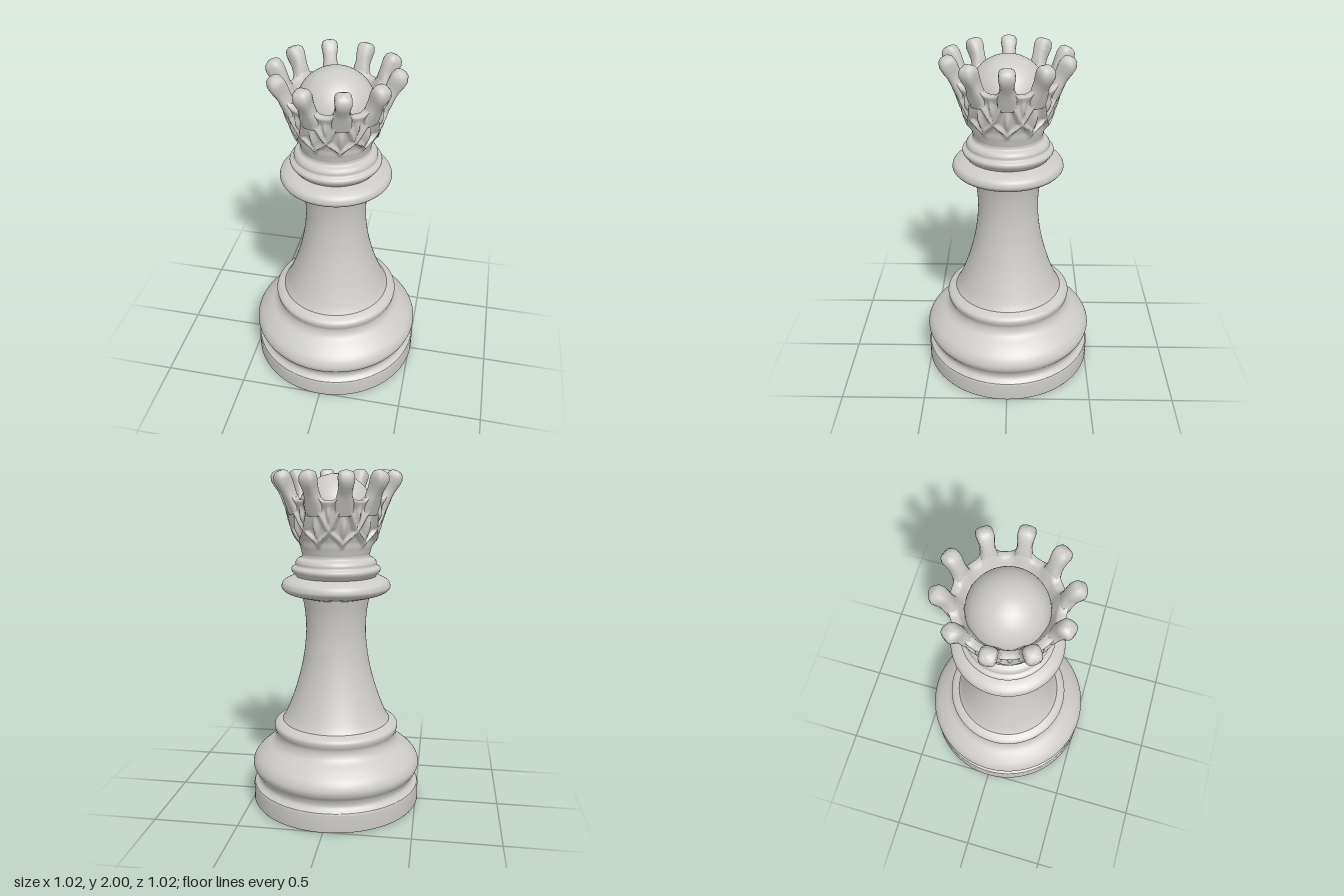
import * as THREE from 'three';
import { mergeVertices } from 'three/addons/utils/BufferGeometryUtils.js';

const PRONGS = 10;
const stone = new THREE.MeshStandardMaterial({ color: 0xcccbc8 });
stone.name = 'pale stone';

const lerp = THREE.MathUtils.lerp;
const bump = (d, w) => Math.exp(-(d * d) / (w * w));

// Linear lookup in rows of [key, a, b, ...]
function lookup(rows, key, col) {
  let i = 0;
  while (i < rows.length - 2 && key > rows[i + 1][0]) i++;
  const t = THREE.MathUtils.clamp((key - rows[i][0]) / (rows[i + 1][0] - rows[i][0]), 0, 1);
  return lerp(rows[i][col], rows[i + 1][col], t);
}

function addMesh(group, name, geometry) {
  const mesh = new THREE.Mesh(geometry, stone);
  mesh.name = name;
  group.add(mesh);
  return mesh;
}

// Turned part: smooth profile of [radius, height], bottom to top
function turned(points, divisions = points.length * 4) {
  const curve = new THREE.SplineCurve(points.map(p => new THREE.Vector2(...p)));
  return new THREE.LatheGeometry(curve.getPoints(divisions), 96);
}

// Flared crown wall with carved leaf ribs and a scalloped rim
function crownWall() {
  const outer = [[1.53, 0.2], [1.56, 0.207], [1.62, 0.232], [1.7, 0.258], [1.8, 0.284], [1.9, 0.312]];
  const g = new THREE.PlaneGeometry(1, 1, 240, 44);
  const pos = g.attributes.position;
  const uv = g.attributes.uv;
  for (let i = 0; i < pos.count; i++) {
    const a = uv.getX(i) * Math.PI * 2;
    const v = uv.getY(i) * 44;
    const peak = (1 - Math.cos(a * PRONGS)) / 2;
    const top = 1.83 + 0.06 * peak * peak;
    // Signed position inside one prong's sector, -0.5 to 0.5, 0 at the prong
    const f = a * PRONGS / (Math.PI * 2) - 0.5;
    const s = f - Math.round(f);
    let r, y;
    if (v <= 36) {
      y = lerp(1.53, top, v / 36);
      r = lookup(outer, y, 1);
      // Ribs leave the prong, spread to the neighbours, then cross again
      const spread = 0.5 * THREE.MathUtils.clamp((1.84 - y) / 0.18, 0, 1);
      const low = 0.25 + 0.25 * Math.cos(THREE.MathUtils.clamp((1.68 - y) / 0.1, 0, 1) * Math.PI);
      const w = y > 1.68 ? spread : low;
      const rib = bump(Math.abs(s) - w, 0.1);
      const leaf = bump(s, 0.09) * bump(y - 1.67, 0.06) + bump(Math.abs(s) - 0.5, 0.07) * bump(y - 1.75, 0.05);
      const fade = THREE.MathUtils.smoothstep(y, 1.56, 1.61) * (1 - THREE.MathUtils.smoothstep(y, top - 0.05, top));
      r += fade * (0.026 * Math.max(rib, 0.9 * leaf) - 0.011);
    } else {
      // Rounded rim, then the inside of the bowl
      const inside = [[36, 0, 0], [37, -0.008, 0.008], [39, -0.04, 0.006], [40, -0.05, -0.004], [44, -0.09, -0.1]];
      r = lookup(outer, top, 1) + lookup(inside, v, 1);
      y = top + lookup(inside, v, 2);
    }
    pos.setXYZ(i, r * Math.sin(a), y, r * Math.cos(a));
  }
  g.deleteAttribute('uv');
  g.deleteAttribute('normal');
  const merged = mergeVertices(g, 1e-4);
  merged.computeVertexNormals();
  return merged;
}

// Outward-leaning prong with a narrow neck and a blunt, squarish tip
function prongGeometry() {
  // height, distance from axis, half width, half depth
  const rows = [
    [1.76, 0.262, 0.05, 0.02], [1.82, 0.276, 0.052, 0.03], [1.86, 0.287, 0.042, 0.034],
    [1.89, 0.300, 0.037, 0.037], [1.92, 0.316, 0.04, 0.042], [1.95, 0.331, 0.045, 0.044],
    [1.975, 0.341, 0.042, 0.036], [1.987, 0.346, 0.028, 0.022], [1.99, 0.348, 0.0001, 0.0001],
  ];
  const g = new THREE.LatheGeometry(rows.map(p => new THREE.Vector2(1, p[0])), 24);
  const pos = g.attributes.position;
  for (let i = 0; i < pos.count; i++) {
    const y = pos.getY(i);
    const c = pos.getX(i), s = pos.getZ(i);
    const square = Math.pow(c ** 4 + s ** 4, -0.18);
    const dx = c * square * lookup(rows, y, 3);
    pos.setXYZ(i, lookup(rows, y, 1) + dx, y - 0.45 * dx, s * square * lookup(rows, y, 2));
  }
  g.deleteAttribute('uv');
  g.deleteAttribute('normal');
  const merged = mergeVertices(g, 1e-5);
  merged.computeVertexNormals();
  return merged;
}

export function createModel() {
  const model = new THREE.Group();
  model.name = 'chessQueen';

  // Underside and foot
  addMesh(model, 'underside', new THREE.CircleGeometry(0.505, 96).rotateX(Math.PI / 2));
  addMesh(model, 'footRing', new THREE.LatheGeometry(
    [[0.505, 0], [0.511, 0.01], [0.511, 0.105], [0.505, 0.118]].map(p => new THREE.Vector2(...p)), 96));

  // Swelling base with a groove below and a lip above
  addMesh(model, 'base', turned([
    [0.505, 0.118], [0.485, 0.135], [0.477, 0.155], [0.485, 0.185], [0.505, 0.215], [0.511, 0.25],
    [0.49, 0.295], [0.44, 0.34], [0.39, 0.375], [0.37, 0.405], [0.366, 0.435], [0.375, 0.46],
    [0.376, 0.483], [0.36, 0.5], [0.325, 0.515],
  ]));

  // Tapering shaft
  addMesh(model, 'shaft', turned([
    [0.325, 0.515], [0.3, 0.56], [0.26, 0.66], [0.225, 0.77], [0.197, 0.89], [0.181, 1.01],
    [0.178, 1.1], [0.184, 1.19], [0.198, 1.27],
  ]));

  // Wide collar and the two smaller rings above it
  addMesh(model, 'collar', turned([
    [0.198, 1.27], [0.235, 1.28], [0.29, 1.298], [0.316, 1.32], [0.319, 1.34], [0.308, 1.363],
    [0.275, 1.382], [0.235, 1.393],
  ]));
  addMesh(model, 'neckRings', turned([
    [0.235, 1.393], [0.245, 1.405], [0.259, 1.425], [0.258, 1.443], [0.238, 1.457], [0.236, 1.475],
    [0.225, 1.492], [0.203, 1.503], [0.198, 1.52], [0.2, 1.53],
  ]));

  // Crown
  const crown = new THREE.Group();
  crown.name = 'crown';
  model.add(crown);
  addMesh(crown, 'crownWall', crownWall());
  const prong = prongGeometry();
  for (let i = 0; i < PRONGS; i++) {
    addMesh(crown, 'prong', prong).rotation.y = (i * Math.PI * 2) / PRONGS;
  }
  addMesh(crown, 'dome', new THREE.SphereGeometry(0.218, 48, 24, 0, Math.PI * 2, 0, Math.PI * 0.6)
    .translate(0, 1.757, 0));

  return model;
}
